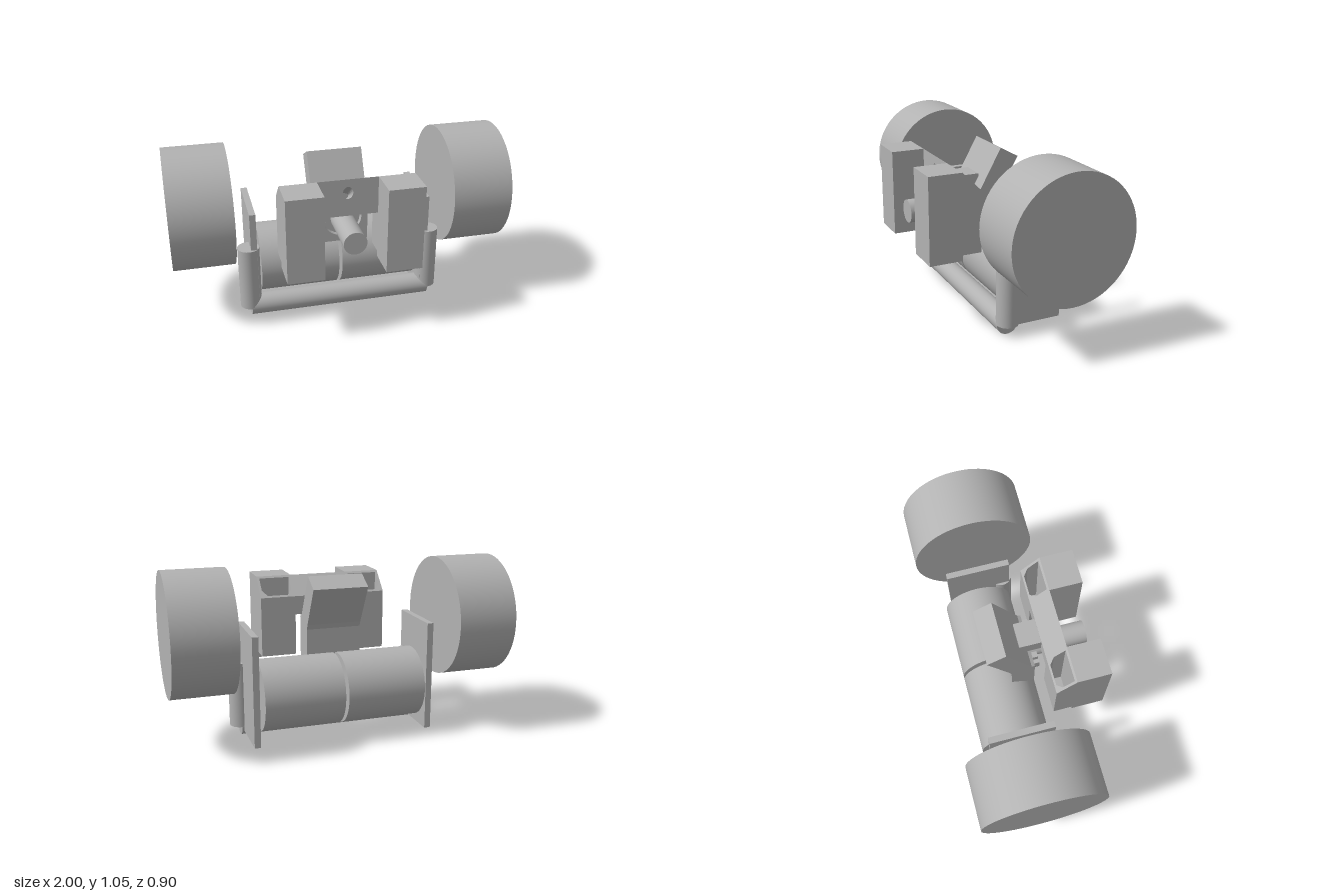
import * as THREE from 'three';

const grey = new THREE.MeshStandardMaterial({ color: 0xb2b2b2 });
grey.name = 'plain grey';

export function createModel() {
  const model = new THREE.Group();
  model.name = 'rollerMachine';

  const add = (name, geometry, x = 0, y = 0, z = 0) => {
    const mesh = new THREE.Mesh(geometry, grey);
    mesh.name = name;
    mesh.position.set(x, y, z);
    model.add(mesh);
    return mesh;
  };
  // box from its minimum and maximum corners
  const box = (name, [x0, y0, z0], [x1, y1, z1]) =>
    add(name, new THREE.BoxGeometry(x1 - x0, y1 - y0, z1 - z0), (x0 + x1) / 2, (y0 + y1) / 2, (z0 + z1) / 2);
  const rodX = (name, r, length, x, y, z) =>
    add(name, new THREE.CylinderGeometry(r, r, length, 64).rotateZ(Math.PI / 2), x, y, z);
  const polygon = (points) => new THREE.Shape(points.map(([a, b]) => new THREE.Vector2(a, b)));
  const extrude = (shape, depth) =>
    new THREE.ExtrudeGeometry(shape, { depth, bevelEnabled: false, curveSegments: 24 });
  // move vertices by a rule and refresh the flat normals
  const reshape = (geometry, rule) => {
    const p = geometry.attributes.position;
    for (let i = 0; i < p.count; i++) p.setY(i, rule(p.getY(i), p.getZ(i)));
    geometry.computeVertexNormals();
    return geometry;
  };

  for (const [side, s] of [['left', 1], ['right', -1]]) {
    // wheels, roller halves and end plates
    rodX(side + 'Wheel', 0.36, 0.36, s * 0.82, 0.69, -0.09);
    rodX(side + 'Roller', 0.21, 0.475, s * 0.2475, 0.297, -0.118);
    const plate = box(side + 'EndPlate', [0.508, 0.037, -0.288], [0.545, 0.69, 0.1]);
    plate.position.x *= s;

    // upright of the front guard
    add(side + 'GuardPost', new THREE.CylinderGeometry(0.065, 0.065, 0.395, 48), s * 0.556, 0.2625, 0.055);

    // front block with a hollow, sloped-top housing behind it
    const block = box(side + 'FrontBlock', [0.178, 0.416, 0.253], [0.392, 0.926, 0.45]);
    block.position.x *= s;
    const outline = polygon([[-0.107, -0.253], [0.107, -0.253], [0.107, -0.14], [-0.107, -0.14]]);
    outline.holes.push(polygon([
      [-0.092, -0.242], [-0.092, -0.178], [-0.062, -0.15], [0.062, -0.15], [0.092, -0.178], [0.092, -0.242],
    ]));
    const housing = extrude(outline, 0.476).rotateX(-Math.PI / 2).translate(0, 0.45, 0);
    reshape(housing, (y, z) => (y > 0.6 ? 0.926 - (0.253 - z) : y));
    add(side + 'Housing', housing, s * 0.285);
  }

  // lower tube of the guard
  rodX('guardTube', 0.065, 1.116, 0, 0.066, 0.055);

  // crossbar between the housings, sloped at the back, with a bored hole
  const bar = polygon([[-0.18, 0.7], [0.18, 0.7], [0.18, 0.926], [-0.18, 0.926]]);
  bar.holes.push(new THREE.Path().absellipse(0, 0.843, 0.03, 0.037, 0, Math.PI * 2, true));
  const barGeometry = extrude(bar, 0.113).translate(0, 0, 0.14);
  add('crossbar', reshape(barGeometry, (y, z) => 0.7 + (y - 0.7) * (z < 0.2 ? 0.5 : 1)));
  box('crossbarLink', [-0.075, 0.72, 0.01], [0.075, 0.81, 0.14]);

  // bent column: upright foot with a head leaning backward
  const column = polygon([
    [-0.06, 0.45], [0.08, 0.45], [0.08, 0.69], [0.06, 0.7],
    [-0.09, 0.974], [-0.2, 0.914], [-0.072, 0.68], [-0.06, 0.65],
  ]);
  add('leaningColumn', extrude(column, 0.33).translate(0, 0, -0.165).rotateY(-Math.PI / 2));

  // spindle and its slotted cradle
  add('spindle', new THREE.CylinderGeometry(0.068, 0.068, 0.35, 48).rotateX(Math.PI / 2), 0, 0.613, 0.255);
  for (const [name, inner, outer] of [['outerCradle', 0.118, 0.142], ['innerCradle', 0.07, 0.105]]) {
    const ring = new THREE.Shape();
    ring.absarc(0, 0, outer, Math.PI, Math.PI * 2, false);
    ring.lineTo(outer, 0.045);
    ring.lineTo(inner, 0.045);
    ring.lineTo(inner, 0);
    ring.absarc(0, 0, inner, Math.PI * 2, Math.PI, true);
    ring.lineTo(-inner, 0.045);
    ring.lineTo(-outer, 0.045);
    ring.closePath();
    add(name, extrude(ring, 0.035), 0, 0.625, 0.08);
  }
  return model;
}
